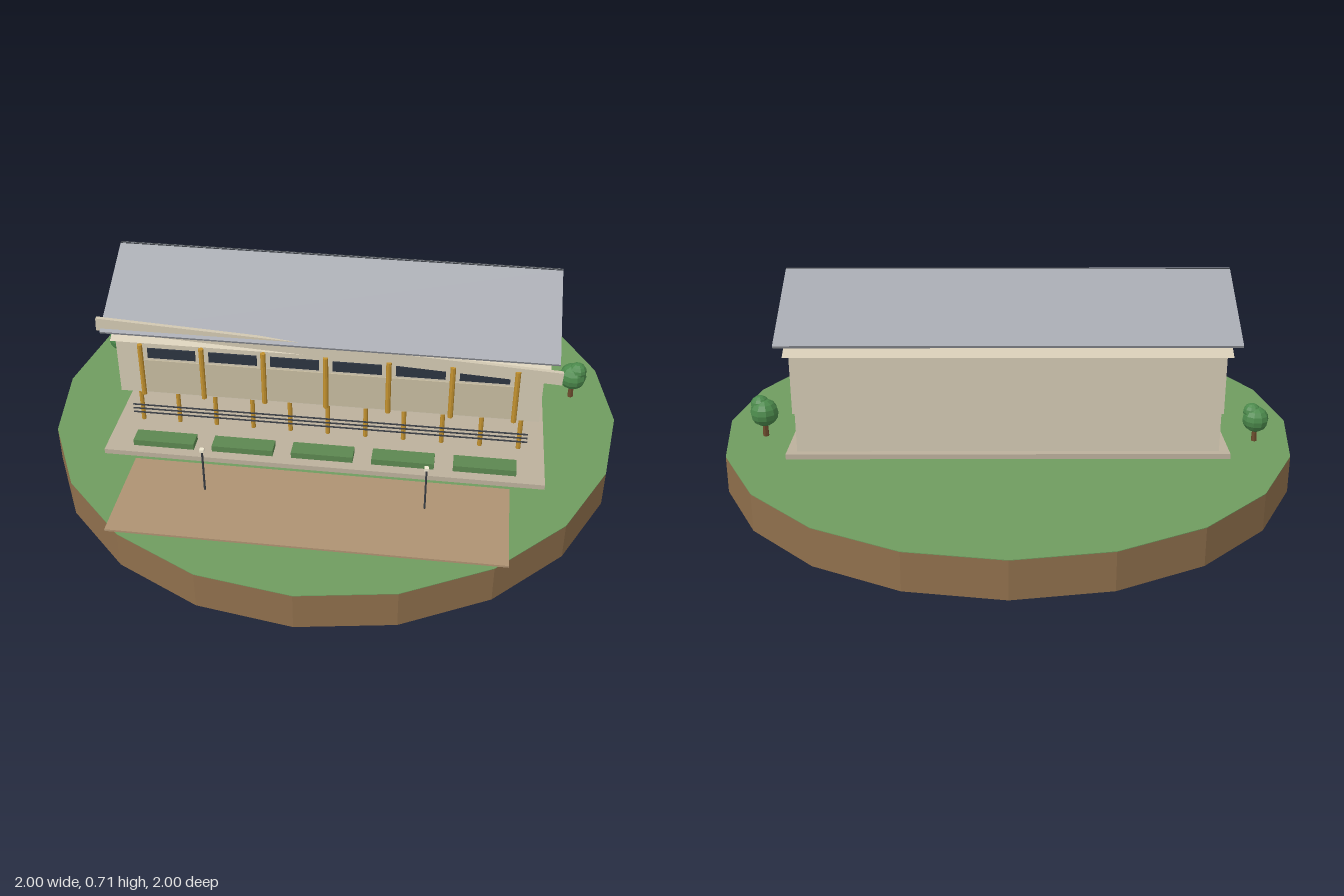
import * as THREE from 'three';

const mat = (color, extra = {}) => new THREE.MeshStandardMaterial({ color, ...extra });
const M = {
  earth: mat(0x8f6f4c, { flatShading: true }), grass: mat(0x6f9c5f), paving: mat(0xbcb09c), path: mat(0xae9272),
  wall: mat(0xd2c8b2), panel: mat(0xc6bb9f), glass: mat(0x2c3440), timber: mat(0xc2912f, { flatShading: true }),
  roof: mat(0xa4a7ae), metal: mat(0x3c4046), hedge: mat(0x5c8750), lamp: mat(0xf0e8d0),
  leaf: mat(0x4c8a4c, { flatShading: true }), trunk: mat(0x6b4a2c, { flatShading: true }),
};

export function createModel() {
  const root = new THREE.Group();
  root.name = 'pavilionOnIsland';

  const add = (name, geo, m, x = 0, y = 0, z = 0, parent = root) => {
    const mesh = new THREE.Mesh(geo, m);
    mesh.name = name;
    mesh.position.set(x, y, z);
    parent.add(mesh);
    return mesh;
  };
  // Box given by its low and high limits on each axis
  const box = (name, m, x0, x1, y0, y1, z0, z1) =>
    add(name, new THREE.BoxGeometry(x1 - x0, y1 - y0, z1 - z0), m, (x0 + x1) / 2, (y0 + y1) / 2, (z0 + z1) / 2);
  // Upright round post between two heights
  const post = (name, m, r, x, y0, y1, z, sides = 8) =>
    add(name, new THREE.CylinderGeometry(r, r, y1 - y0, sides), m, x, (y0 + y1) / 2, z);

  // Island disc with grass top
  add('islandBase', new THREE.CylinderGeometry(1, 1, 0.128, 20), M.earth, 0, 0.064, 0);
  add('grassTop', new THREE.CylinderGeometry(1, 1, 0.002, 20), M.grass, 0, 0.129, 0);

  // Terrace and forecourt
  box('terrace', M.paving, -0.745, 0.745, 0.13, 0.148, -0.33, 0.42);
  box('forecourt', M.path, -0.63, 0.63, 0.13, 0.137, 0.44, 0.8);

  // Planting beds
  for (let i = -2; i <= 2; i++) {
    const x = i * 0.273;
    box('hedge', M.hedge, x - 0.105, x + 0.105, 0.148, 0.17, 0.325, 0.385);
  }

  // Ground floor: rear block, glazed screen, open colonnade
  box('rearBlock', M.wall, -0.71, 0.71, 0.148, 0.29, -0.305, -0.15);
  box('glassScreen', M.glass, -0.685, 0.685, 0.148, 0.29, -0.045, -0.032);
  for (let i = -5; i <= 5; i++) post('colonnadePost', M.timber, 0.008, i * 0.1315, 0.148, 0.29, 0.23);
  for (const y of [0.19, 0.206, 0.222]) box('rail', M.metal, -0.685, 0.685, y - 0.002, y + 0.002, 0.248, 0.252);

  // Upper floor
  box('upperFloor', M.wall, -0.715, 0.715, 0.29, 0.49, -0.32, 0.265);
  for (let i = 0; i < 6; i++) {
    const x = (i - 2.5) * 0.21;
    box('facadePanel', M.panel, x - 0.096, x + 0.096, 0.295, 0.425, 0.265, 0.269);
    box('clerestoryWindow', M.glass, x - 0.082, x + 0.082, 0.436, 0.473, 0.265, 0.271);
  }
  for (let i = -3; i <= 3; i++) post('facadePost', M.timber, 0.009, i * 0.21, 0.29, 0.49, 0.275);

  // Gable prism
  const tri = new THREE.Shape();
  tri.moveTo(-0.265, 0.49);
  tri.lineTo(0.33, 0.49);
  tri.lineTo(0.028, 0.665);
  tri.closePath();
  const gable = new THREE.ExtrudeGeometry(tri, { depth: 1.47, bevelEnabled: false });
  gable.translate(0, 0, -0.735);
  add('gable', gable, M.wall).rotation.y = Math.PI / 2;

  // Roof slabs and ridge strip
  const ridgeZ = -0.03, ridgeY = 0.706, eaveY = 0.532, run = 0.313;
  const slopeLength = Math.hypot(run, ridgeY - eaveY);
  for (const s of [1, -1]) {
    const slab = add('roofSlab', new THREE.BoxGeometry(1.52, 0.01, slopeLength), M.roof,
      0, (ridgeY + eaveY) / 2, ridgeZ + s * run / 2);
    slab.rotation.x = s * Math.atan2(ridgeY - eaveY, run);
  }
  box('ridgeStrip', M.metal, -0.76, 0.76, 0.7, 0.71, ridgeZ - 0.006, ridgeZ + 0.006);

  // Tilted eave board
  add('eaveBoard', new THREE.BoxGeometry(1.55, 0.046, 0.014), M.wall, 0, 0.515, 0.267).rotation.z = -0.055;

  // Lamp posts
  for (const x of [-0.36, 0.36]) {
    post('lampPost', M.metal, 0.0035, x, 0.137, 0.296, 0.57, 6);
    box('lampHead', M.lamp, x - 0.007, x + 0.007, 0.294, 0.304, 0.563, 0.577);
  }

  // Trees
  for (const [x, z, size] of [[-0.855, -0.175, 0.92], [0.85, -0.13, 1]]) {
    const tree = new THREE.Group();
    tree.name = 'tree';
    tree.position.set(x, 0.13, z);
    tree.scale.setScalar(size);
    root.add(tree);
    add('trunk', new THREE.CylinderGeometry(0.008, 0.011, 0.07, 6), M.trunk, 0, 0.035, 0, tree);
    add('crown', new THREE.SphereGeometry(0.049, 10, 8), M.leaf, 0, 0.088, 0, tree);
    add('crownTop', new THREE.SphereGeometry(0.033, 10, 8), M.leaf, 0.014, 0.115, 0.006, tree);
  }
  return root;
}
